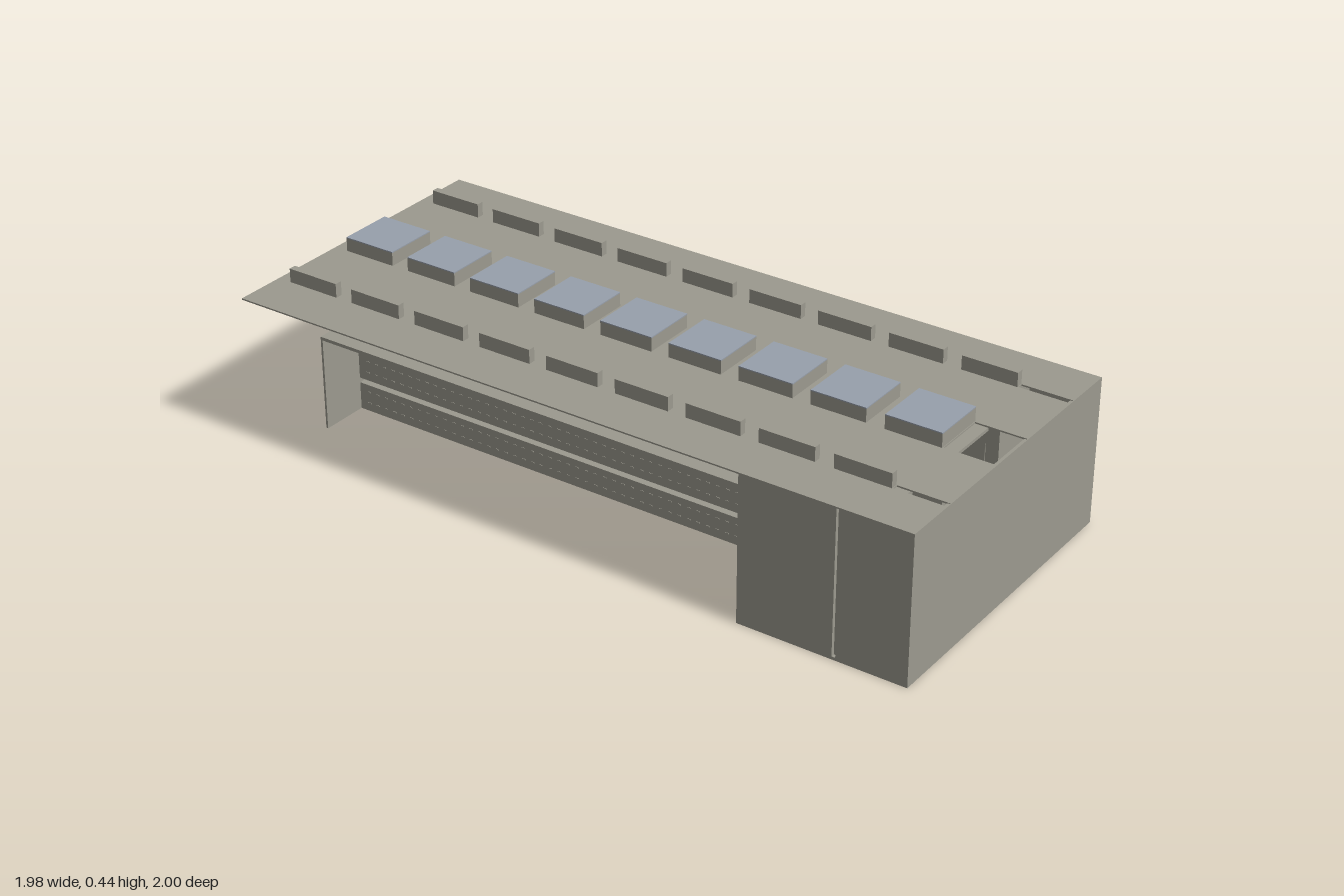
import * as THREE from 'three';
import { mergeGeometries } from 'three/addons/utils/BufferGeometryUtils.js';

const concrete = new THREE.MeshStandardMaterial({ color: 0x9c9a8f, side: THREE.DoubleSide });
const glass = new THREE.MeshStandardMaterial({ color: 0x98a0ac, side: THREE.DoubleSide });

// Box from its limits: x along the building, y up, z across it
function block(x0, x1, y0, y1, z0, z1) {
  return new THREE.BoxGeometry(x1 - x0, y1 - y0, z1 - z0)
    .translate((x0 + x1) / 2, (y0 + y1) / 2, (z0 + z1) / 2);
}

// The same box on both long sides
function pair(x0, x1, y0, y1, z0, z1) {
  return [block(x0, x1, y0, y1, z0, z1), block(x0, x1, y0, y1, -z1, -z0)];
}

export function createModel() {
  const model = new THREE.Group();
  model.name = 'cellBlockBuilding';
  const hall = new THREE.Group();
  hall.name = 'hall';
  hall.rotation.y = -0.798; // the hall stands diagonally on its plot
  model.add(hall);

  const add = (name, parts, material = concrete) => {
    const mesh = new THREE.Mesh(mergeGeometries(parts), material);
    mesh.name = name;
    hall.add(mesh);
  };

  const L = 0.974, W = 0.433, H = 0.4, topY = 0.265;
  const bays = Array.from({ length: 9 }, (_, i) => -0.859 + i * 0.202);
  const half = 0.076, slotZ = 0.285, slotW = 0.01;

  // Roof plate with an opening under every skylight and ridge vent
  const roof = new THREE.Shape();
  roof.moveTo(-L, -W).lineTo(L, -W).lineTo(L, W).lineTo(-L, W).closePath();
  const cut = (x0, x1, z0, z1) => {
    const p = new THREE.Path();
    p.moveTo(x0, z0).lineTo(x0, z1).lineTo(x1, z1).lineTo(x1, z0).closePath();
    roof.holes.push(p);
  };
  const openings = bays.map((x) => [x - half + 0.004, x + half - 0.004]);
  openings.push([0.835, 0.972]);
  for (const [x0, x1] of openings) {
    cut(x0, x1, -0.072, 0.072);
    for (const s of [-1, 1]) cut(x0, x1, s * slotZ - 0.008, s * slotZ + 0.008);
  }
  const roofGeo = new THREE.ExtrudeGeometry(roof, { depth: 0.004, bevelEnabled: false });
  add('roof', [roofGeo.rotateX(Math.PI / 2).translate(0, H + 0.002, 0)]);

  // Skylight kerbs, panes and the two rows of vents
  const kerbs = [], panes = [], vents = [];
  for (const x of bays) {
    const a = x - half, b = x + half, t = 0.004;
    kerbs.push(...pair(a, b, H, 0.438, half - t, half));
    kerbs.push(block(a, a + t, H, 0.438, -half, half), block(b - t, b, H, 0.438, -half, half));
    panes.push(block(a, b, 0.438, 0.441, -half, half));
    vents.push(...pair(a, b, H, 0.44, slotZ - slotW, slotZ + slotW));
  }
  add('skylightKerbs', kerbs);
  add('skylightPanes', panes, glass);
  add('roofVents', vents);

  // Entrance block: floor, end wall and side walls
  add('entranceBlock', [
    block(0.76, L, 0, 0.008, -W, W),
    block(L - 0.01, L, 0, H, -W, W),
    ...pair(0.785, L, 0, H, W - 0.01, W),
    ...pair(0.77, 0.79, 0, H, slotZ, W - 0.01),
  ]);

  // Side rooms flanking the start of the wing
  add('sideRooms', pair(0.516, 0.775, 0, H, slotZ, W));

  // Three storeys of cells either side of a corridor, with open slots between
  const cells = [], windows = [];
  for (let f = 0; f < 3; f++) {
    const y = f * 0.09;
    cells.push(...pair(-0.85, 0.76, y, y + 0.076, 0.075, 0.15));
    for (let i = 0; i < 56; i++) {
      const x = -0.825 + i * 0.028;
      for (const dy of [0.022, 0.054]) {
        windows.push(...pair(x, x + 0.01, y + dy, y + dy + 0.003, 0.15, 0.1515));
      }
    }
  }
  add('cells', cells);
  add('cellWindows', windows);
  add('corridorWalls', pair(-0.85, 0.76, 0, 0.258, 0.072, 0.076));
  add('corridorFloor', [block(-L, 0.77, 0, 0.006, -0.075, 0.075)]);
  add('wingTop', [block(-0.856, 0.76, 0.256, topY, -0.283, 0.283)]);
  add('wingEndWall', [block(-0.856, -0.85, 0, topY, -0.283, 0.283)]);

  // Tall end panel with crossbars, and the stair landings behind it
  const end = [block(-L, -L + 0.004, 0, H, -0.075, 0.075)];
  for (const y of [0.13, 0.25]) end.push(block(-L - 0.002, -L, y, y + 0.004, -0.075, 0.075));
  add('endPanel', end);
  const landings = [];
  for (let i = 0; i < 7; i++) {
    const y = 0.08 + i * 0.028;
    landings.push(block(-L + 0.004, -0.92, y, y + 0.012, -0.07, 0.07));
  }
  add('stairLandings', landings);

  // Hanging lamps along the corridor
  const lamps = [];
  for (let i = 0; i < 10; i++) {
    const x = -0.785 + i * 0.1875;
    lamps.push(new THREE.CylinderGeometry(0.0012, 0.0012, 0.09, 6).translate(x, 0.355, 0));
    lamps.push(new THREE.CylinderGeometry(0.003, 0.016, 0.012, 12).translate(x, 0.306, 0));
  }
  add('hangingLamps', lamps);

  return model;
}
